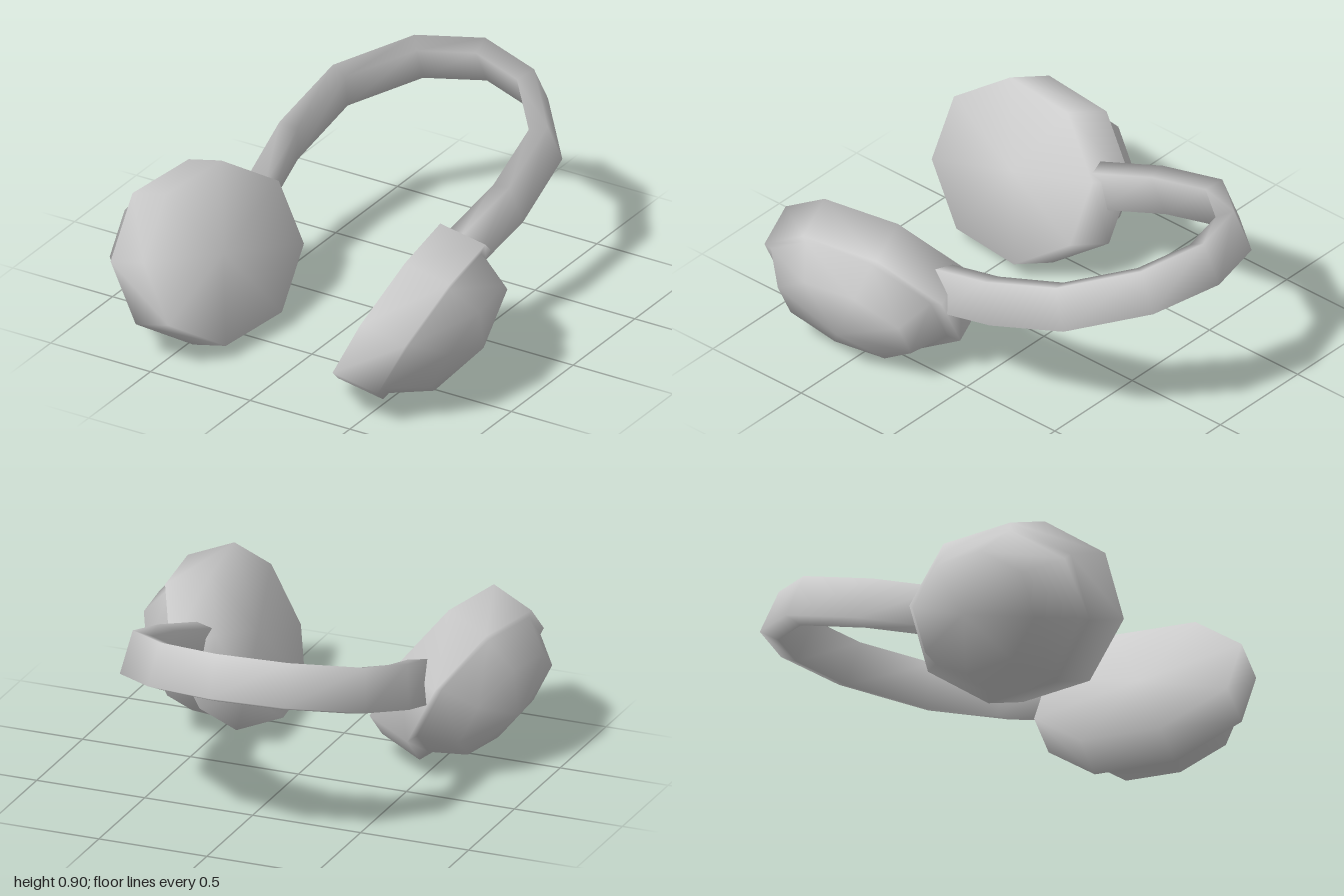
import * as THREE from 'three';

const V = (x, y, z) => new THREE.Vector3(x, y, z);

// Closed smooth skin over equal-sized rings, fanned to a point at each end.
function loft(rings, start, end, mirror = false) {
  const n = rings[0].length;
  const points = [...rings.flat(), start, end];
  const index = [];
  const tri = (a, b, c) => (mirror ? index.push(a, c, b) : index.push(a, b, c));
  const last = (rings.length - 1) * n;
  for (let k = 0; k < n; k++) {
    const m = (k + 1) % n;
    for (let i = 0; i < last; i += n) {
      tri(i + k, i + m, i + n + k);
      tri(i + m, i + n + m, i + n + k);
    }
    tri(points.length - 2, m, k);
    tri(points.length - 1, last + k, last + m);
  }
  const sx = mirror ? -1 : 1;
  const geo = new THREE.BufferGeometry();
  geo.setAttribute('position', new THREE.Float32BufferAttribute(
    points.flatMap((p) => [p.x * sx, p.y, p.z]), 3));
  geo.setIndex(index);
  geo.computeVertexNormals();
  return geo;
}

// Ear cup: tilted oval octagons, a thick cushion followed by an inset dome.
function cupGeometry(mirror) {
  const forward = V(0.068, -0.016, 0.484);
  const upward = V(0.173, 0.341, -0.0135);
  const ring = (centre, scale) => Array.from({ length: 8 }, (_, k) => {
    const a = (k + 0.5) * Math.PI / 4;
    return centre.clone()
      .addScaledVector(upward, scale * Math.cos(a))
      .addScaledVector(forward, scale * Math.sin(a));
  });
  const inner = V(0.415, 0.4, 0.545);
  return loft([
    ring(inner, 1),
    ring(V(0.61, 0.33, 0.495), 1),
    ring(V(0.62, 0.33, 0.505), 0.9),
    ring(V(0.764, 0.28, 0.462), 0.68),
  ], inner, V(0.83, 0.246, 0.45), mirror);
}

// Headband: rectangular strap swept along an arch in a sloping plane.
function bandGeometry() {
  const half = [[0.505, 0.14], [0.55, -0.2], [0.515, -0.56], [0.285, -0.825]];
  const path = [
    ...half.map(([x, z]) => [-x, z]), [0, -0.91], ...half.slice().reverse(),
  ].map(([x, z]) => V(x, 0.8 - 0.32 * (z + 0.91), z));
  const up = V(0, 0.952, 0.305);
  const lean = 0.17;
  const rings = path.map((p, i) => {
    const before = path[Math.max(i - 1, 0)];
    const after = path[Math.min(i + 1, path.length - 1)];
    const d1 = p.clone().sub(before).normalize();
    const d2 = after.clone().sub(p).normalize();
    const out = up.clone().cross(d1.add(d2).normalize()).normalize();
    const o = out.clone().multiplyScalar(Math.cos(lean)).addScaledVector(up, Math.sin(lean));
    const h = up.clone().multiplyScalar(Math.cos(lean)).addScaledVector(out, -Math.sin(lean));
    return [[1, 1], [-1, 1], [-1, -1], [1, -1]].map(([a, b]) =>
      p.clone().addScaledVector(o, a * 0.043).addScaledVector(h, b * 0.097));
  });
  return loft(rings, path[0], path[path.length - 1]);
}

export function createModel() {
  const group = new THREE.Group();
  group.name = 'headphones';
  const material = new THREE.MeshStandardMaterial({ color: 0xcccccc });
  const add = (name, geometry) => {
    const mesh = new THREE.Mesh(geometry, material);
    mesh.name = name;
    group.add(mesh);
  };
  add('leftEarCup', cupGeometry(false));
  add('rightEarCup', cupGeometry(true));
  add('headband', bandGeometry());
  return group;
}
